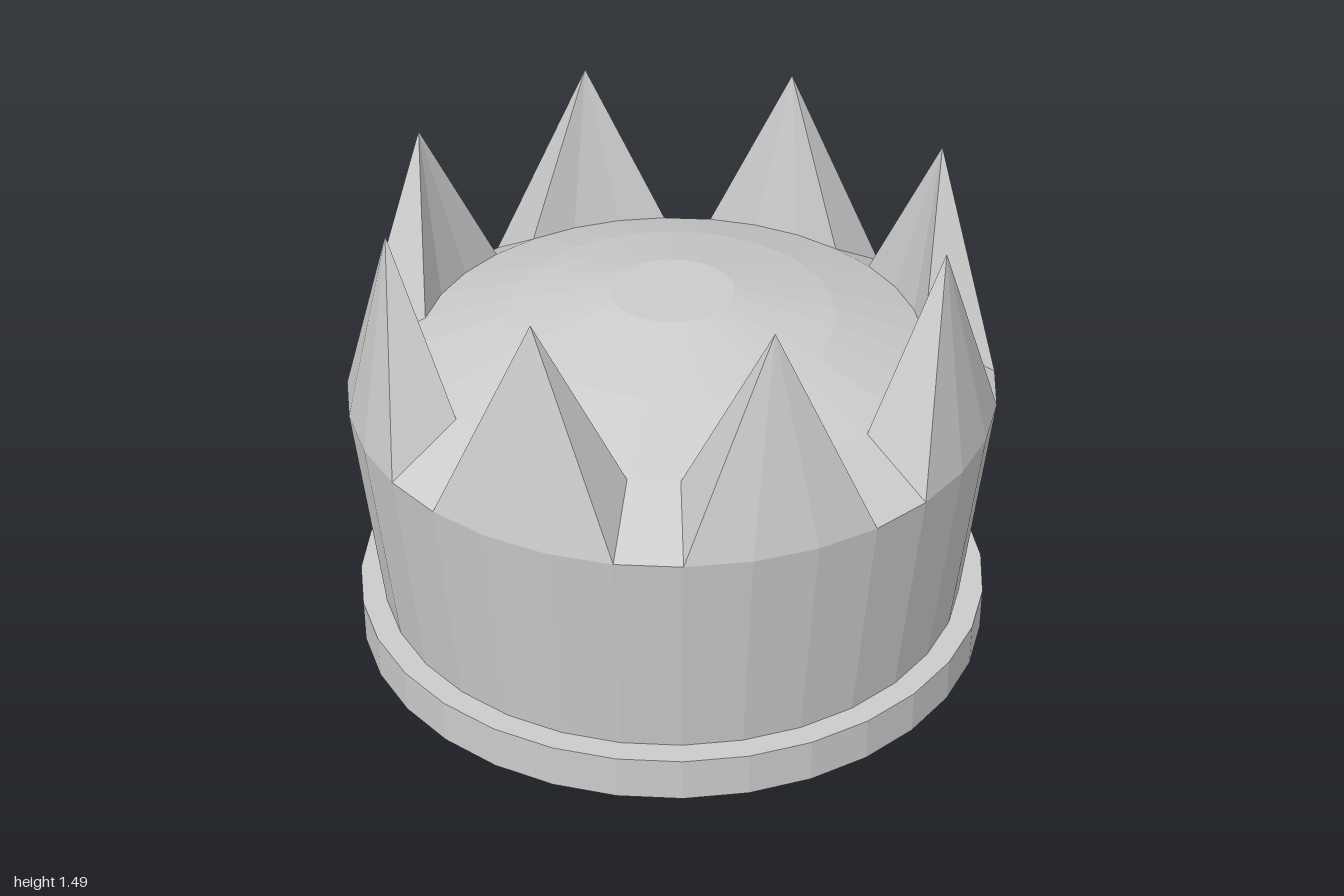
import * as THREE from 'three';

const SIDES = 32;
const STEP = (Math.PI * 2) / SIDES;
const SPIKES = 8;
const OUTER = [1, 0.84]; // outer rim: radius, height
const INNER = [0.775, 0.975]; // inner rim: radius, height
const TIP = [0.87, 1.49]; // spike tip: radius, height

const material = new THREE.MeshStandardMaterial({ color: 0xcccccc, flatShading: true });

function addMesh(parent, name, geometry) {
  const mesh = new THREE.Mesh(geometry, material);
  mesh.name = name;
  parent.add(mesh);
  return mesh;
}

// Turned part; profile runs [radius, height] from the bottom up
function turned(profile, segments = SIDES, start = 0, length = Math.PI * 2) {
  const points = profile.map(([r, y]) => new THREE.Vector2(r, y));
  return new THREE.LatheGeometry(points, segments, start, length);
}

// Point on the ring at a (possibly fractional) side number
const onRing = ([r, y], side) => [r * Math.sin(side * STEP), y, r * Math.cos(side * STEP)];

// Spike three sides wide, with its tip above the middle of the rim
function spikeGeometry() {
  const sides = [-1, 0, 1, 2];
  const ring = [
    ...sides.map((s) => onRing(OUTER, s)),
    ...sides.reverse().map((s) => onRing(INNER, s)),
  ];
  const tip = onRing(TIP, 0.5);
  const positions = [];
  ring.forEach((p, i) => positions.push(...p, ...ring[(i + 1) % ring.length], ...tip));
  const geometry = new THREE.BufferGeometry();
  geometry.setAttribute('position', new THREE.Float32BufferAttribute(positions, 3));
  geometry.computeVertexNormals();
  return geometry;
}

export function createModel() {
  const crown = new THREE.Group();
  crown.name = 'crown';

  // Foot plate, flared band and shallow dome
  addMesh(crown, 'basePlate', turned([[0, 0], [1, 0], [1, 0.14], [0.925, 0.14]]));
  addMesh(crown, 'band', turned([[0.925, 0.14], OUTER]));
  addMesh(crown, 'dome', turned([INNER, [0.5, 1.075], [0.19, 1.148], [0, 1.148]]));

  // Eight spikes with one sloping rim facet between neighbours
  const spike = spikeGeometry();
  const gap = turned([OUTER, INNER], 1, 2 * STEP, STEP);
  for (let i = 0; i < SPIKES; i++) {
    const turn = (i * Math.PI * 2) / SPIKES;
    addMesh(crown, 'spike', spike).rotation.y = turn;
    addMesh(crown, 'rimFacet', gap).rotation.y = turn;
  }
  return crown;
}
